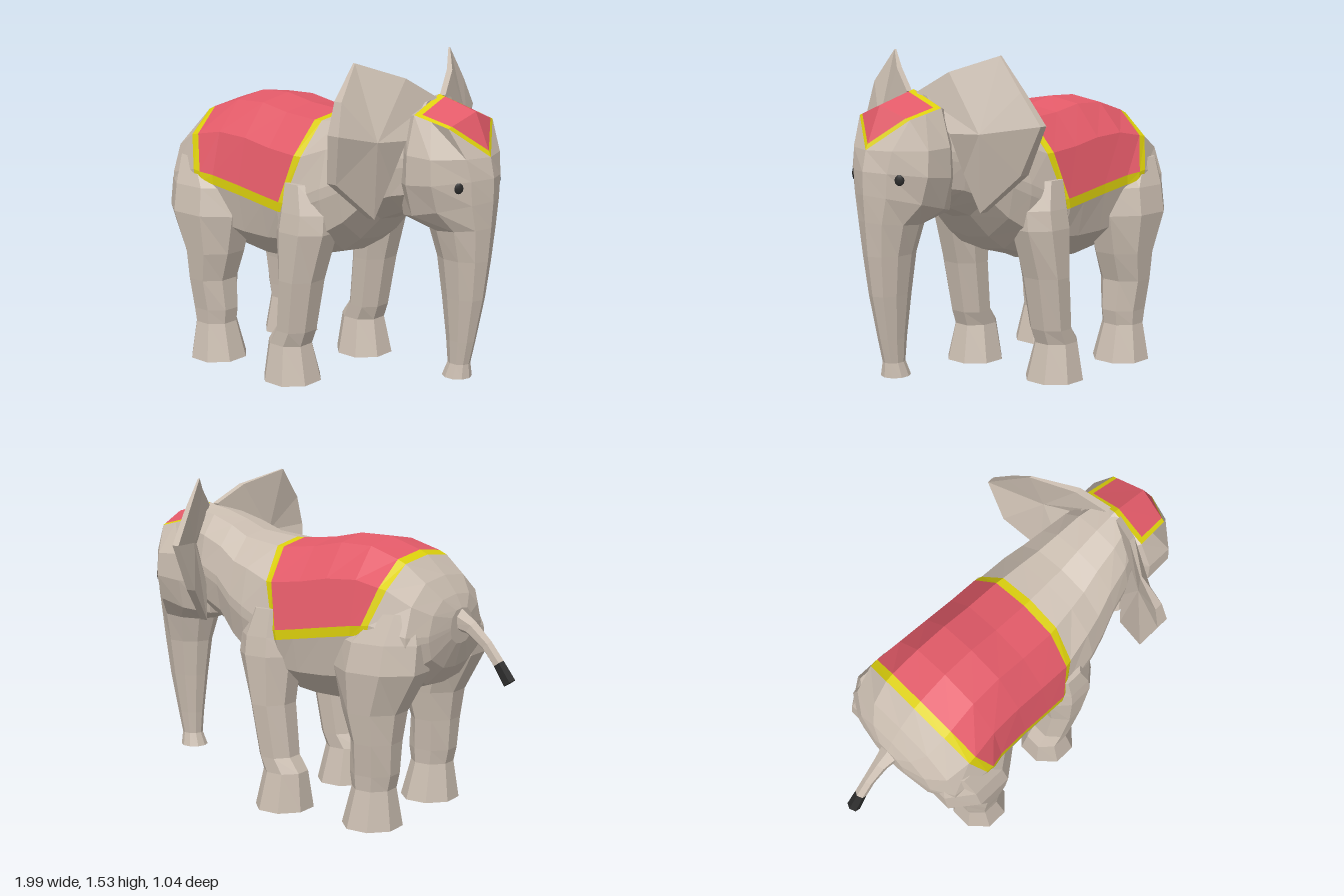
import * as THREE from 'three';

const colours = { skin: 0xcabdb0, cloth: 0xe25a68, trim: 0xdcd00c, dark: 0x2a2a2a };
const names = Object.keys(colours);
const materials = names.map((name) => {
  const m = new THREE.MeshStandardMaterial({ color: colours[name] });
  m.name = name;
  return m;
});

// Collects flat polygons by colour; side -1 mirrors them across the middle plane.
class Part {
  constructor(name) { this.name = name; this.lists = names.map(() => []); }
  add(colour, pts, side = 1) {
    const p = side > 0 ? pts : pts.map(([x, y, z]) => [x, y, -z]).reverse();
    const list = this.lists[names.indexOf(colour)];
    for (let i = 1; i < p.length - 1; i++) list.push(...p[0], ...p[i], ...p[i + 1]);
  }
  // Joins rings of equal length; colourAt may return null to leave a cell open.
  loft(rings, colourAt = () => 'skin', side = 1, caps = true) {
    const n = rings[0].length;
    for (let i = 0; i < rings.length - 1; i++) {
      for (let k = 0; k < n; k++) {
        const j = (k + 1) % n, c = colourAt(i, k);
        if (c) this.add(c, [rings[i][k], rings[i + 1][k], rings[i + 1][j], rings[i][j]], side);
      }
    }
    if (caps) {
      this.add(colourAt(0, 0), rings[0], side);
      this.add(colourAt(rings.length - 2, 0), [...rings.at(-1)].reverse(), side);
    }
  }
  mesh() {
    const g = new THREE.BufferGeometry();
    let start = 0;
    this.lists.forEach((l, i) => {
      if (l.length) g.addGroup(start, l.length / 3, i);
      start += l.length / 3;
    });
    g.setAttribute('position', new THREE.Float32BufferAttribute(this.lists.flat(), 3));
    g.computeVertexNormals();
    const m = new THREE.Mesh(g, materials);
    m.name = this.name;
    return m;
  }
}

const lerp = (a, b, t) => a.map((v, i) => v + (b[i] - v) * t);
const closeRing = (half) => [...half, ...half.slice(1, -1).reverse().map(([x, y, z]) => [x, y, -z])];

// Body stations from neck to rump: x, top, bottom, half width, skew of x towards the hem
const stations = [
  [0.69, 1.374, 0.86, 0.17, 0], [0.58, 1.352, 0.84, 0.22, 0], [0.46, 1.312, 0.79, 0.25, 0],
  [0.36, 1.268, 0.68, 0.285, 0], [0.27, 1.257, 0.61, 0.31, 0],
  [0.165, 1.245, 0.55, 0.335, -0.1], [0.125, 1.245, 0.535, 0.345, -0.08],
  [-0.05, 1.26, 0.52, 0.345, 0], [-0.2, 1.29, 0.515, 0.345, 0], [-0.36, 1.285, 0.54, 0.352, 0],
  [-0.51, 1.235, 0.565, 0.37, 0.09], [-0.55, 1.215, 0.58, 0.37, 0.09],
  [-0.64, 1.13, 0.64, 0.34, 0], [-0.7, 1.05, 0.72, 0.24, 0], [-0.73, 0.99, 0.83, 0.1, 0],
];
const firstTrim = 5, lastTrim = 10;

function buildBody() {
  const part = new Part('body');
  const rings = stations.map(([x, top, bot, w, skew], i) => {
    const h = top - bot, onCloth = i >= firstTrim && i <= lastTrim + 1;
    const hem = onCloth ? 0.865 - 0.16 * (x + skew) : bot + 0.52 * h;
    const edge = onCloth ? hem - 0.045 : bot + 0.44 * h;
    const side = hem + (top - hem) * 0.55;
    return closeRing([
      [x, top, 0], [x + skew * 0.05, top - 0.035 * h, 0.5 * w], [x + skew * 0.25, side, 0.86 * w],
      [x + skew * 0.9, hem, w], [x + skew, edge, w],
      [x + skew, bot + 0.2 * h, 0.9 * w], [x + skew, bot + 0.03 * h, 0.45 * w], [x + skew, bot, 0],
    ]);
  });
  part.loft(rings, (i, k) => {
    const row = k < 7 ? k : 13 - k;
    if (i < firstTrim || i > lastTrim || row > 3) return 'skin';
    return i === firstTrim || i === lastTrim || row === 3 ? 'trim' : 'cloth';
  });
  return part.mesh();
}

// Head and trunk sections from tip upwards: back x, back y, front x, front y, half width, face width factor
const headSections = [
  [0.75, 0.125, 0.885, 0.125, 0.065, 0.59], [0.775, 0.19, 0.88, 0.19, 0.047, 0.59],
  [0.765, 0.3, 0.905, 0.3, 0.057, 0.59], [0.74, 0.5, 0.945, 0.5, 0.08, 0.59],
  [0.715, 0.68, 0.968, 0.68, 0.102, 0.59], [0.68, 0.8, 0.98, 0.83, 0.135, 0.56],
  [0.56, 0.84, 0.988, 0.95, 0.215, 0.46], [0.55, 1.0, 0.988, 1.05, 0.255, 0.42],
  [0.56, 1.15, 0.968, 1.14, 0.25, 0.49],
];

function buildHead() {
  const part = new Part('headAndTrunk');
  const rings = headSections.map(([xb, yb, xf, yf, w, face]) => closeRing([0, 1, 2, 3, 4, 5].map((k) => {
    const a = k * Math.PI / 5, t = (1 - Math.cos(a)) / 2;
    return [xf + (xb - xf) * t, yf + (yb - yf) * t, w * (k === 1 ? face : Math.sin(a))];
  })));
  // Crown: a ridge with eaves, coloured as a headcloth
  const ridge = [0.69, 1.38, 0], brow = [0.885, 1.325, 0];
  const eave = [0.86, 1.27, 0.16], corner = [0.69, 1.31, 0.175];
  const rear = [0.61, 1.29, 0.13], nape = [0.59, 1.34, 0];
  const top = closeRing([brow, eave, lerp(eave, corner, 0.5), corner, rear, nape]);
  const face = rings.at(-1);
  part.add('skin', rings[0]);
  rings.push(top);
  const last = rings.length - 2;
  part.loft(rings, (i, k) => (i === last && (k === 0 || k === 9) ? null : 'skin'), 1, false);
  const at = (u, v) => lerp(lerp(ridge, brow, u), lerp(corner, eave, u), v);
  const patch = (colour, u0, u1, v0, v1, s) =>
    part.add(colour, [at(u0, v0), at(u0, v1), at(u1, v1), at(u1, v0)], s);
  for (const s of [1, -1]) {
    const tip = lerp(brow, face[0], 0.86), wing = lerp(brow, eave, 0.87);
    part.add('cloth', [tip, brow, wing], s);
    part.add('trim', [face[0], tip, wing, eave], s);
    part.add('skin', [face[0], eave, face[1]], s);
    patch('cloth', 0.15, 1, 0, 0.88, s);
    patch('trim', 0, 0.15, 0, 1, s);
    patch('trim', 0.15, 1, 0.88, 1, s);
    part.add('skin', [ridge, nape, rear, corner], s);
  }
  return part.mesh();
}

// Leg sections from foot upwards: y, back x, front x, inner z, outer z
const frontLeg = [
  [0, -0.07, 0.19, 0.13, 0.395], [0.18, -0.05, 0.15, 0.17, 0.36], [0.25, 0, 0.175, 0.165, 0.36],
  [0.5, 0.025, 0.22, 0.15, 0.375], [0.73, 0, 0.285, 0.13, 0.375], [0.82, 0.01, 0.28, 0.12, 0.362],
  [0.95, 0.03, 0.22, 0.12, 0.335],
];
const backLeg = [
  [0, -0.56, -0.3, 0.13, 0.395], [0.18, -0.535, -0.345, 0.17, 0.36], [0.25, -0.55, -0.335, 0.165, 0.365],
  [0.4, -0.56, -0.345, 0.15, 0.385], [0.54, -0.58, -0.3, 0.13, 0.4], [0.73, -0.68, -0.26, 0.1, 0.42],
  [0.86, -0.68, -0.28, 0.1, 0.395], [0.99, -0.64, -0.44, 0.1, 0.34],
];

function buildLeg(name, sections, side) {
  const part = new Part(name);
  part.loft(sections.map(([y, x0, x1, z0, z1]) => Array.from({ length: 8 }, (_, k) => {
    const a = (k + 0.5) * Math.PI / 4, r = 0.54;
    return [(x0 + x1) / 2 + (x1 - x0) * r * Math.cos(a), y, (z0 + z1) / 2 + (z1 - z0) * r * Math.sin(a)];
  })), () => 'skin', side);
  return part.mesh();
}

// Ear: a front rim with its edge thickness, swelling to a hub in front and hollow behind.
// The two ears differ a little at the outer tip.
function buildEar(name, side, outerRim) {
  const part = new Part(name);
  const rim = [
    [0.7, 1.37, 0.03, 0.03], [0.635, 1.46, 0.165, 0.03], [0.495, 1.53, 0.335, 0.01],
    ...outerRim, [0.485, 1.02, 0.445, 0.05],
    [0.55, 0.845, 0.265, 0.04], [0.6, 1.02, 0.215, 0.05], [0.67, 1.2, 0.2, 0.05],
  ];
  const fore = rim.map(([x, y, z]) => [x, y, z]);
  const aft = rim.map(([x, y, z, t]) => [x - t, y, z]);
  const front = [0.61, 1.2, 0.32], back = [0.55, 1.22, 0.3];
  fore.forEach((p, i) => {
    const j = (i + 1) % rim.length;
    part.add('skin', [front, p, fore[j]], side);
    part.add('skin', [p, aft[i], aft[j], fore[j]], side);
    part.add('skin', [back, aft[j], aft[i]], side);
  });
  return part.mesh();
}

// Tail sections: x, y, radius, tilt, with a dark tuft at the end
function buildTail() {
  const part = new Part('tail');
  const path = [[-0.68, 0.95, 0.06, 0.4], [-0.78, 0.905, 0.036, 0.6], [-0.86, 0.835, 0.028, 0.85],
    [-0.92, 0.757, 0.028, 0.95], [-0.975, 0.675, 0.032, 0.95]];
  part.loft(path.map(([x, y, r, t]) => Array.from({ length: 6 }, (_, k) => {
    const a = k * Math.PI / 3;
    return [x - r * Math.sin(t) * Math.cos(a), y + r * Math.cos(t) * Math.cos(a), r * Math.sin(a)];
  })), (i) => (i === 3 ? 'dark' : 'skin'));
  return part.mesh();
}

function buildEye(name, side) {
  const eye = new THREE.Mesh(new THREE.SphereGeometry(1, 10, 6), materials[3]);
  eye.name = name;
  eye.scale.set(0.021, 0.025, 0.008);
  eye.position.set(0.911, 1.02, side * 0.147);
  eye.rotation.y = side > 0 ? 0.88 : Math.PI - 0.88;
  return eye;
}

export function createModel() {
  const model = new THREE.Group();
  model.name = 'elephant';
  const animal = new THREE.Group();
  animal.name = 'animal';
  animal.position.z = 0.034;
  animal.add(buildBody(), buildHead(), buildTail());
  const outerRims = {
    Right: [[0.52, 1.38, 0.45, 0.04], [0.535, 1.24, 0.487, 0.06]],
    Left: [[0.49, 1.38, 0.45, 0.03], [0.475, 1.24, 0.553, 0.035]],
  };
  for (const [label, s] of [['Right', 1], ['Left', -1]]) {
    animal.add(buildLeg('frontLeg' + label, frontLeg, s), buildLeg('backLeg' + label, backLeg, s),
      buildEar('ear' + label, s, outerRims[label]), buildEye('eye' + label, s));
  }
  model.add(animal);
  return model;
}
